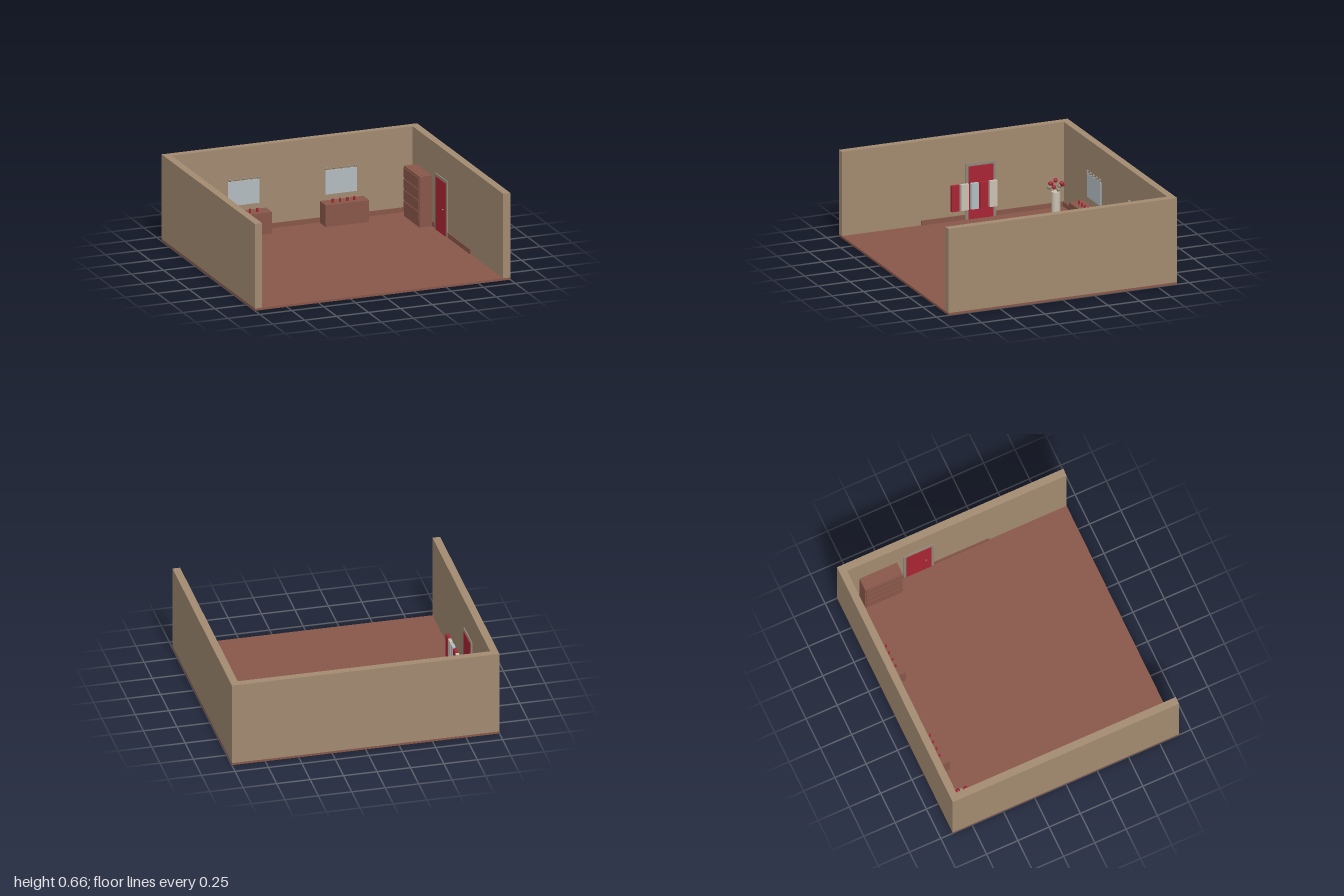
import * as THREE from 'three';

const material = (name, color) => {
  const m = new THREE.MeshStandardMaterial({ color });
  m.name = name;
  return m;
};

export function createModel() {
  const room = new THREE.Group();
  room.name = 'dressingRoom';

  const wall = material('wall tan', 0xa28a70);
  const wood = material('red brown wood', 0x885649);
  const glass = material('mirror glass', 0xb2bcc0);
  const red = material('red', 0xa82433);
  const cream = material('cream', 0xcac2b2);
  const grey = material('warm grey', 0x8f8676);

  const add = (name, geometry, mat, x, y, z, parent = room) => {
    const mesh = new THREE.Mesh(geometry, mat);
    mesh.name = name;
    mesh.position.set(x, y, z);
    parent.add(mesh);
    return mesh;
  };
  // Box given by its limits on each axis
  const box = (name, mat, [x0, x1], [y0, y1], [z0, z1], parent = room) =>
    add(name, new THREE.BoxGeometry(x1 - x0, y1 - y0, z1 - z0), mat,
      (x0 + x1) / 2, (y0 + y1) / 2, (z0 + z1) / 2, parent);
  const group = (name) => {
    const g = new THREE.Group();
    g.name = name;
    room.add(g);
    return g;
  };

  // Floor, three walls and skirting boards
  box('floor', wood, [-1, 1], [0, 0.017], [-0.905, 0.905]);
  box('backWall', wall, [-0.943, 0.943], [0.017, 0.66], [-0.905, -0.85]);
  box('backSkirting', wood, [-0.943, 0.943], [0.017, 0.053], [-0.85, -0.842]);
  for (const s of [-1, 1]) {
    const span = (a, b) => [Math.min(s * a, s * b), Math.max(s * a, s * b)];
    box('sideWall', wall, span(0.943, 1), [0.017, 0.66], [-0.905, 0.905]);
    box('sideSkirting', wood, span(0.936, 0.943), [0.017, 0.053], [-0.842, 0.28]);

    // Framed door on each side wall
    const door = group(s < 0 ? 'rightDoor' : 'leftDoor');
    const z = s < 0 ? -0.19 : -0.28;
    box('doorFrame', grey, span(0.934, 0.943), [0.017, 0.44], [z - 0.12, z + 0.12], door);
    box('doorPanel', red, span(0.93, 0.934), [0.017, 0.42], [z - 0.098, z + 0.098], door);
    add('doorKnob', new THREE.SphereGeometry(0.006, 10, 8), grey, s * 0.926, 0.21, z + 0.055, door);

    // Dressing table with jars, mirror and bulbs
    const table = group('dressingTable');
    const cx = s * 0.38;
    box('tableBody', wood, [cx - 0.17, cx + 0.17], [0.017, 0.182], [-0.835, -0.72], table);
    box('mirror', glass, [cx - 0.123, cx + 0.123], [0.222, 0.405], [-0.85, -0.843], table);
    for (let i = 0; i < 4; i++) {
      add('jar', new THREE.CylinderGeometry(0.008, 0.008, 0.027, 10), red,
        cx - 0.095 + i * 0.056, 0.1955, -0.767, table);
    }
    for (let i = -2; i <= 2; i++) {
      add('bulb', new THREE.SphereGeometry(0.011, 12, 8), grey, cx + i * 0.056, 0.42, -0.842, table);
    }
  }

  // Wardrobe with a row of front panels
  const wardrobe = group('wardrobe');
  box('wardrobeBody', wood, [0.838, 0.936], [0.017, 0.4], [-0.755, -0.455], wardrobe);
  for (let i = 0; i < 4; i++) {
    const y = 0.06 + i * 0.085;
    box('wardrobePanel', wood, [0.832, 0.838], [y, y + 0.073], [-0.748, -0.462], wardrobe);
  }

  // Hanging garments along the right wall
  const garments = group('garments');
  [[-0.25, cream], [-0.177, red], [-0.103, glass], [-0.025, cream], [0.05, red]].forEach(([z, mat]) => {
    box('garment', mat, [-0.862, -0.838], [0.122, 0.32], [z - 0.03, z + 0.03], garments);
  });

  // Vase with a ring of flowers
  const flowers = group('vaseOfFlowers');
  add('vase', new THREE.CylinderGeometry(0.032, 0.032, 0.158, 16), cream, -0.834, 0.096, -0.74, flowers);
  for (let i = 0; i < 9; i++) {
    const a = (i / 9) * Math.PI * 2;
    add('blossom', new THREE.SphereGeometry(0.016, 12, 8), i % 3 ? red : grey,
      -0.834 + 0.048 * Math.cos(a), 0.205 + 0.02 * (i % 3), -0.74 + 0.048 * Math.sin(a), flowers);
  }

  return room;
}
